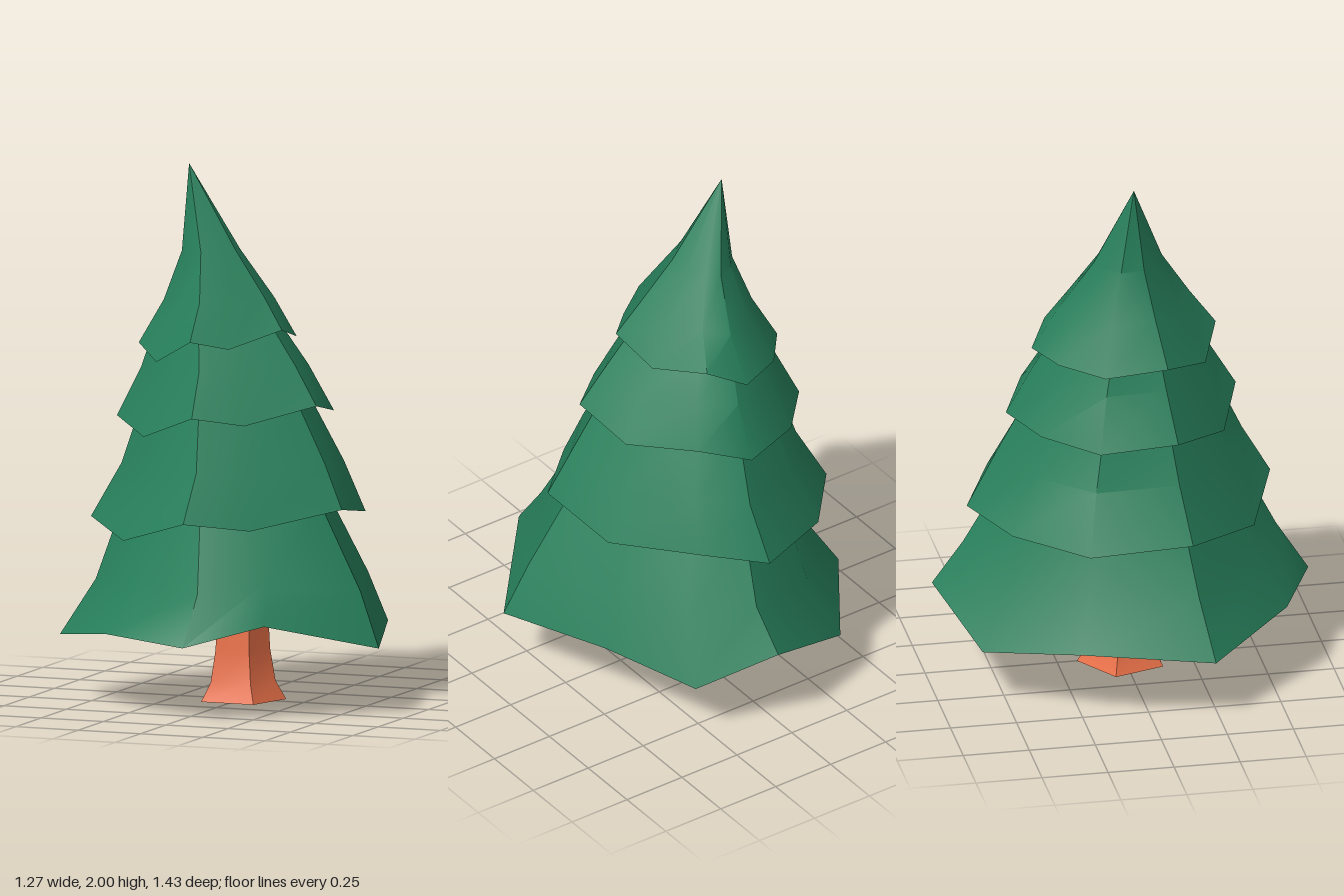
import * as THREE from 'three';
import { toCreasedNormals } from 'three/addons/utils/BufferGeometryUtils.js';

// Skin a stack of closed rings, ordered from the underside outwards and up.
function loft(rings) {
  const pos = [];
  const tri = (a, b, c) => {
    if (a.distanceTo(b) < 1e-6 || b.distanceTo(c) < 1e-6 || a.distanceTo(c) < 1e-6) return;
    for (const p of [a, b, c]) pos.push(p.x, p.y, p.z);
  };
  for (let r = 0; r < rings.length - 1; r++) {
    const a = rings[r], b = rings[r + 1], n = a.length;
    for (let i = 0; i < n; i++) {
      const j = (i + 1) % n;
      tri(a[j], a[i], b[i]);
      tri(a[j], b[i], b[j]);
    }
  }
  const geo = new THREE.BufferGeometry();
  geo.setAttribute('position', new THREE.Float32BufferAttribute(pos, 3));
  return toCreasedNormals(geo, 0.6);
}

// Ten-sided rims, clockwise from the back: [unit x, rise or fall, unit z].
const SKIRT = [[0.06, 0.07, -1], [0.5, -0.05, -0.81], [0.77, 0.01, -0.34], [1, -0.03, 0.29], [0.5, 0.08, 0.78],
  [0.08, 0.005, 0.99], [-0.5, 0.02, 0.78], [-1, -0.04, 0.32], [-0.88, 0, -0.36], [-0.52, -0.06, -0.83]];
const UPPER = [[0.05, -0.02, -1.03], [0.5, 0.04, -0.82], [0.92, 0.01, -0.3], [1, 0.06, 0.28], [0.48, 0, 0.74],
  [0.05, 0.03, 0.96], [-0.52, -0.06, 0.76], [-1, -0.015, 0.28], [-0.98, -0.035, -0.39], [-0.55, -0.02, -0.83]];

// Rim height, centre and radii; rings above the rim are [y, centre x, scale].
const TIERS = [
  { name: 'bottomBranches', rim: SKIRT, y: 0.28, cx: 0, rx: 0.635, rz: 0.717, inset: 0.69, lift: 0.15,
    up: [[0.47, 0.02, 0.83], [0.78, -0.02, 0.61]] },
  { name: 'lowerMiddleBranches', rim: UPPER, y: 0.695, cx: -0.035, rx: 0.503, rz: 0.577, inset: 0.8, lift: 0.05,
    up: [[0.89, -0.02, 0.81], [1.14, -0.05, 0.6]] },
  { name: 'upperMiddleBranches', rim: UPPER, y: 1.073, cx: -0.05, rx: 0.4, rz: 0.437, inset: 0.8, lift: 0.05,
    up: [[1.25, -0.055, 0.77], [1.4, -0.085, 0.58]] },
  { name: 'topBranches', rim: UPPER, y: 1.347, cx: -0.085, rx: 0.287, rz: 0.35, inset: 0.8, lift: 0.05,
    up: [[1.5, -0.083, 0.7], [1.68, -0.118, 0.37], [2, -0.21, 0]] },
];

// One skirt of foliage with a hollow underside; the unevenness fades upwards.
function tierGeometry({ rim, y, cx, rx, rz, inset, lift, up }) {
  const ring = (h, x0, s, fade) =>
    rim.map(([x, rise, z]) => new THREE.Vector3(x0 + x * rx * s, h + rise * fade, z * rz * s));
  return loft([
    ring(y + lift, cx, 0, 0),
    ring(y + lift, cx, inset, 0.4),
    ring(y, cx, 1, 1),
    ...up.map(([h, x0, s]) => ring(h, x0, s, 0.6 * s)),
  ]);
}

export function createModel() {
  const tree = new THREE.Group();
  tree.name = 'pineTree';

  // Foliage
  const green = new THREE.MeshStandardMaterial({ color: 0x277f5b });
  for (const tier of TIERS) {
    const mesh = new THREE.Mesh(tierGeometry(tier), green);
    mesh.name = tier.name;
    tree.add(mesh);
  }

  // Five-sided trunk, flared at the foot
  const foot = [[0, -0.175], [0.155, -0.06], [0.1, 0.13], [-0.11, 0.13], [-0.17, -0.06]];
  const levels = [[0, 0], [0, 1], [0.07, 0.76], [0.19, 0.64], [0.48, 0.55]];
  const trunk = new THREE.Mesh(
    loft(levels.map(([y, s]) => foot.map(([x, z]) => new THREE.Vector3(x * s, y, z * s)))),
    new THREE.MeshStandardMaterial({ color: 0xe87048 }),
  );
  trunk.name = 'trunk';
  tree.add(trunk);
  return tree;
}
